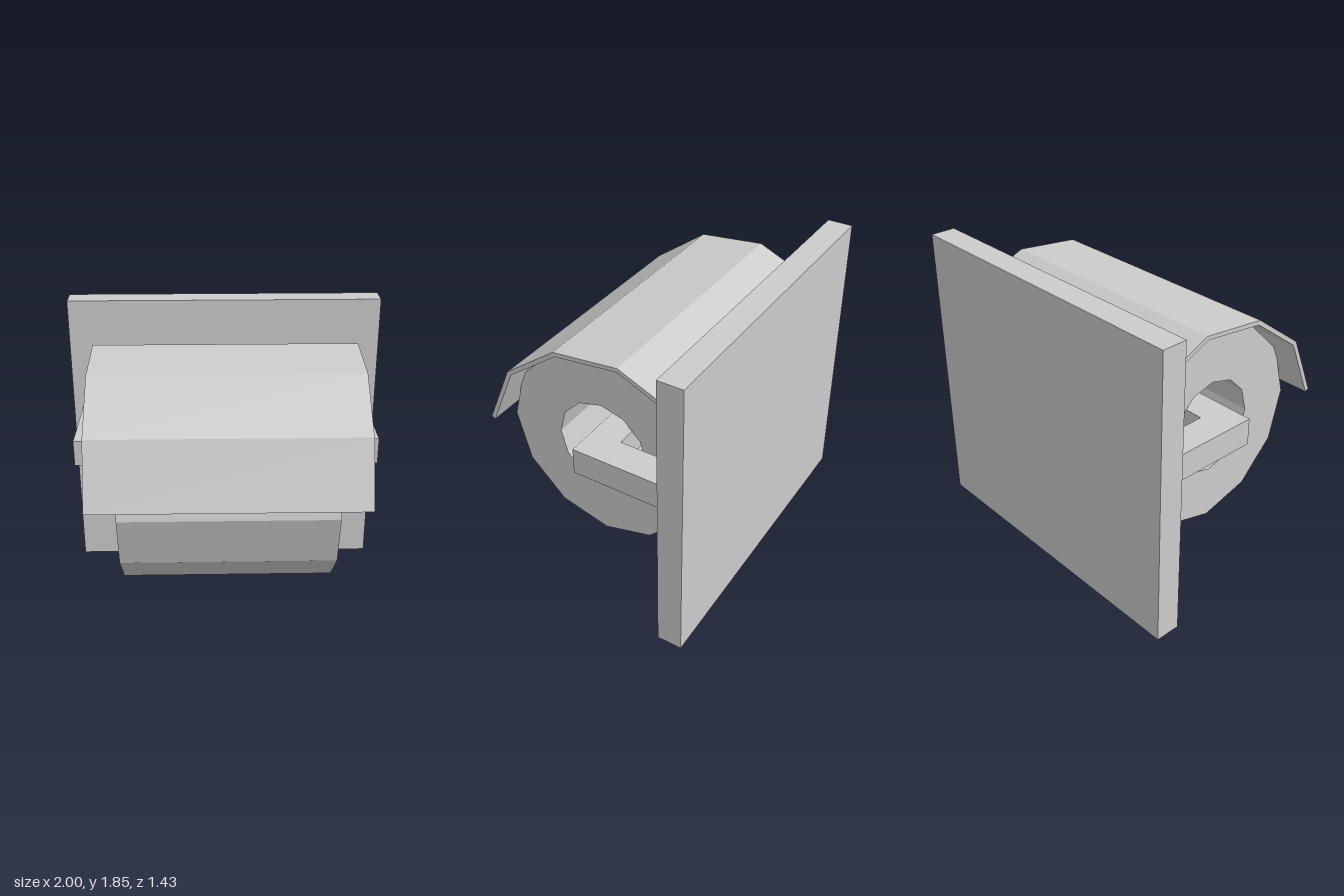
import * as THREE from 'three';

const material = new THREE.MeshStandardMaterial({ color: 0xcccccc, flatShading: true });

function addMesh(group, name, geometry) {
  const mesh = new THREE.Mesh(geometry, material);
  mesh.name = name;
  group.add(mesh);
  return mesh;
}

// Box given by its min and max corners
function addBox(group, name, [x0, y0, z0], [x1, y1, z1]) {
  const mesh = addMesh(group, name, new THREE.BoxGeometry(x1 - x0, y1 - y0, z1 - z0));
  mesh.position.set((x0 + x1) / 2, (y0 + y1) / 2, (z0 + z1) / 2);
}

// Side profile in (z, y), extruded across x and centred
function extrudeAcross(shape, width) {
  return new THREE.ExtrudeGeometry(shape, { depth: width, bevelEnabled: false })
    .translate(0, 0, -width / 2)
    .rotateY(-Math.PI / 2);
}

// Regular polygon with a corner at the top
function polygon(cz, cy, radius, sides) {
  return Array.from({ length: sides }, (_, i) => {
    const a = Math.PI / 2 + (i / sides) * Math.PI * 2;
    return new THREE.Vector2(cz + radius * Math.cos(a), cy + radius * Math.sin(a));
  });
}

export function createModel() {
  const model = new THREE.Group();
  model.name = 'paperRollHolder';

  // Wall plate
  addBox(model, 'backPlate', [-1, 0, -0.715], [1, 1.845, -0.56]);

  // U-shaped bracket: two arms and the spindle through the roll
  const bracket = new THREE.Group();
  bracket.name = 'bracket';
  model.add(bracket);
  const y0 = 0.965, y1 = 1.13, front = 0.02, back = -0.17, outer = 0.94, inner = 0.75;
  addBox(bracket, 'leftArm', [inner, y0, -0.56], [outer, y1, front]);
  addBox(bracket, 'rightArm', [-outer, y0, -0.56], [-inner, y1, front]);
  addBox(bracket, 'spindle', [-inner, y0, back], [inner, y1, front]);

  // Twelve-sided hollow roll
  const ring = new THREE.Shape(polygon(0.04, 0.925, 0.635, 12));
  ring.holes.push(new THREE.Path(polygon(0.04, 0.925, 0.3, 12)));
  addMesh(model, 'paperRoll', extrudeAcross(ring, 1.27));

  // Thin folded cover
  const profile = [
    [-0.56, 1.515], [-0.205, 1.67], [0.21, 1.625], [0.55, 1.375], [0.715, 0.995],
    [0.69, 0.983], [0.527, 1.358], [0.2, 1.599], [-0.2, 1.645], [-0.56, 1.485],
  ].map(([z, y]) => new THREE.Vector2(z, y));
  addMesh(model, 'cover', extrudeAcross(new THREE.Shape(profile), 1.62));

  return model;
}
